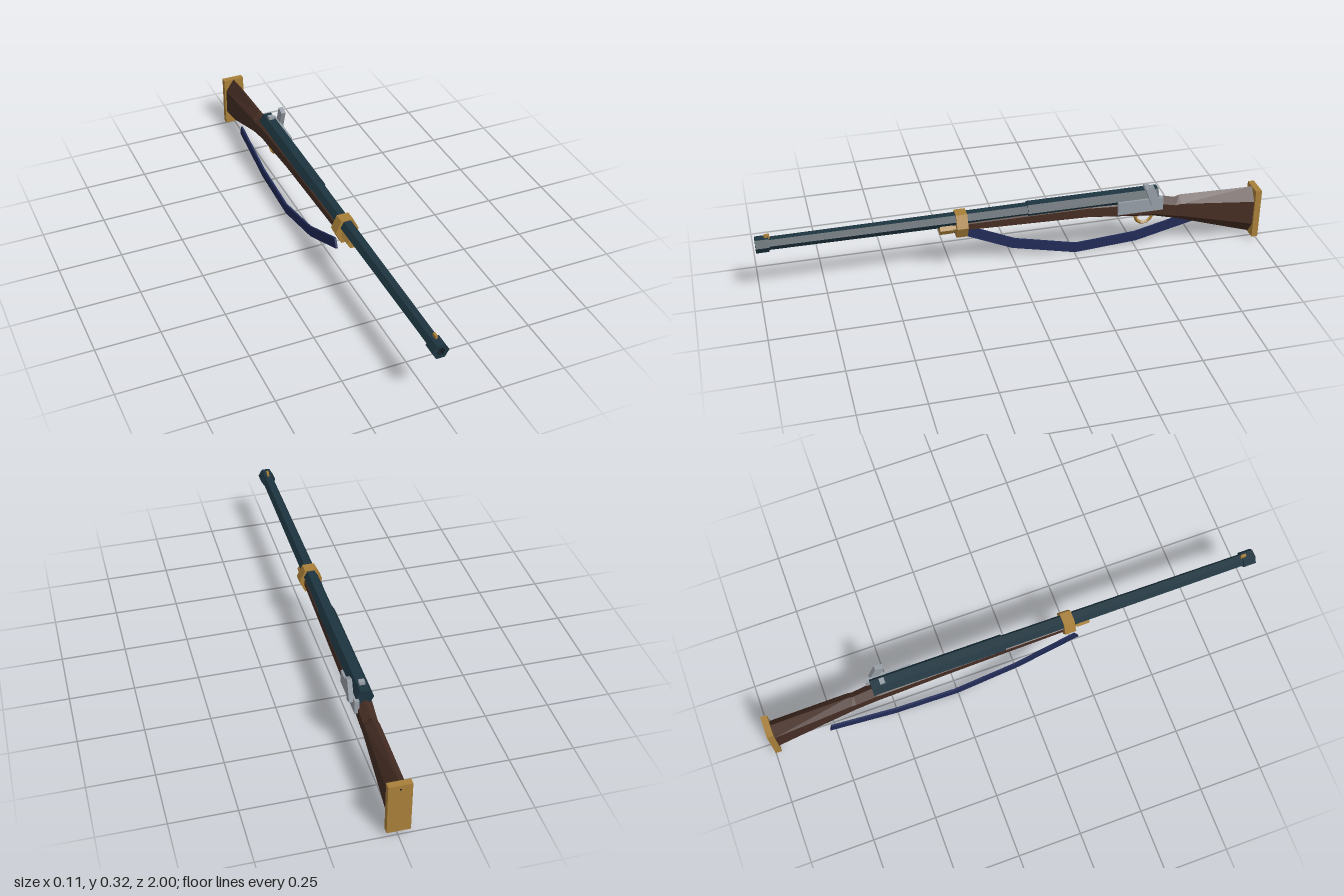
import * as THREE from 'three';

const CX = -0.004; // centre line of barrel and stock
const BARREL_Y = 0.258;

export function createModel() {
  const group = new THREE.Group();
  group.name = 'longGun';

  const mat = (name, color) => {
    const m = new THREE.MeshStandardMaterial({ color, flatShading: true });
    m.name = name;
    return m;
  };
  const steel = mat('bluedSteel', 0x1d343f);
  const boreDark = mat('boreDark', 0x131e25);
  const wood = mat('walnutWood', 0x452d23);
  const brass = mat('brass', 0xa87f39);
  const iron = mat('polishedIron', 0x979ea6);
  const cloth = mat('navyCloth', 0x212b58);

  const add = (name, geometry, material, x = 0, y = 0, z = 0) => {
    const mesh = new THREE.Mesh(geometry, material);
    mesh.name = name;
    mesh.position.set(x, y, z);
    group.add(mesh);
    return mesh;
  };
  const box = (name, material, w, h, d, x, y, z) =>
    add(name, new THREE.BoxGeometry(w, h, d), material, x, y, z);

  // Six-sided turned shape lying along z, corners to the sides; points are [radius, z]
  const hexTurned = (points) => {
    const geo = new THREE.LatheGeometry(points.map(([r, z]) => new THREE.Vector2(r, z)), 6);
    return geo.rotateY(Math.PI / 6).rotateX(Math.PI / 2);
  };

  // Barrel: heavy breech, tapering tube and muzzle ring
  add('barrel', hexTurned([
    [0, -0.57], [0.034, -0.57], [0.034, -0.04], [0.029, -0.04],
    [0.025, 0.95], [0.032, 0.95], [0.032, 1], [0.016, 1],
  ]), steel, CX, BARREL_Y, 0);
  add('bore', hexTurned([[0.016, 1], [0.013, 0.9], [0, 0.9]]), boreDark, CX, BARREL_Y, 0);

  // Stock: six-sided cross-sections with a ridge above and below; [z, top, bottom, halfWidth]
  const sections = [
    [0.22, 0.255, 0.206, 0.026],
    [-0.28, 0.265, 0.188, 0.032],
    [-0.56, 0.25, 0.155, 0.03],
    [-0.645, 0.229, 0.132, 0.027],
    [-0.665, 0.237, 0.126, 0.028],
    [-0.976, 0.23, 0.022, 0.036],
  ];
  const pos = [];
  const index = [];
  for (const [z, top, bottom, hw] of sections) {
    const cy = (top + bottom) / 2;
    const h = (top - bottom) / 2;
    for (let i = 0; i < 6; i++) {
      const a = (i * Math.PI) / 3;
      pos.push((Math.sin(a) / Math.sin(Math.PI / 3)) * hw, cy + Math.cos(a) * h, z);
    }
  }
  for (let s = 0; s < sections.length - 1; s++) {
    for (let i = 0; i < 6; i++) {
      const a = s * 6 + i, b = s * 6 + ((i + 1) % 6);
      index.push(a, b, a + 6, b, b + 6, a + 6);
    }
  }
  // Front and rear caps
  const last = (sections.length - 1) * 6;
  for (let i = 1; i < 5; i++) {
    index.push(0, i + 1, i, last, last + i, last + i + 1);
  }
  const stock = new THREE.BufferGeometry();
  stock.setAttribute('position', new THREE.Float32BufferAttribute(pos, 3));
  stock.setIndex(index);
  const stockGeo = stock.toNonIndexed();
  stockGeo.computeVertexNormals();
  add('stock', stockGeo, wood, CX, 0, 0);

  // Brass furniture
  box('buttPlate', brass, 0.087, 0.212, 0.025, -0.003, 0.124, -0.9875);
  const screw = new THREE.CylinderGeometry(0.004, 0.004, 0.002, 6).rotateX(Math.PI / 2);
  add('plateScrew', screw, boreDark, CX, 0.212, -0.9995);
  const band = hexTurned([[0, -0.022], [0.047, -0.022], [0.047, 0.022], [0, 0.022]]);
  add('barrelBand', band, brass, CX, 0.237, 0.221).scale.y = 1.22;
  const cap = hexTurned([
    [0, 0.2], [0.025, 0.2], [0.025, 0.255], [0.029, 0.255], [0.029, 0.306], [0, 0.306],
  ]);
  add('foreEndCap', cap, brass, CX, 0.227, 0).scale.y = 0.92;
  box('frontSight', brass, 0.009, 0.022, 0.02, CX, 0.287, 0.955);
  const guard = new THREE.TorusGeometry(0.035, 0.007, 4, 8, Math.PI).rotateZ(Math.PI).rotateY(Math.PI / 2);
  add('triggerGuard', guard, brass, CX, 0.165, -0.52);

  // Lock, hammer and rear sight
  box('lockPlate', iron, 0.018, 0.055, 0.185, 0.029, 0.231, -0.492);
  box('hammer', iron, 0.018, 0.086, 0.034, 0.044, 0.278, -0.535).rotation.x = 0.35;
  box('rearSight', iron, 0.022, 0.018, 0.02, CX, 0.291, -0.525);

  // Sling: flat strip hanging beside the stock; centre line as (z, y)
  const line = [[0.245, 0.195], [0, 0.083], [-0.255, 0.023], [-0.505, 0.04], [-0.765, 0.103]]
    .map(([z, y]) => new THREE.Vector2(-z, y));
  const edge = (side) => line.map((p, i) => {
    const dir = line[Math.min(i + 1, 4)].clone().sub(line[Math.max(i - 1, 0)]).normalize();
    return new THREE.Vector2(p.x - dir.y * side * 0.021, p.y + dir.x * side * 0.021);
  });
  const strip = new THREE.Shape([...edge(-1), ...edge(1).reverse()]);
  const slingGeo = new THREE.ExtrudeGeometry(strip, { depth: 0.008, bevelEnabled: false });
  add('sling', slingGeo.rotateY(Math.PI / 2), cloth, -0.054, 0, 0);

  return group;
}
